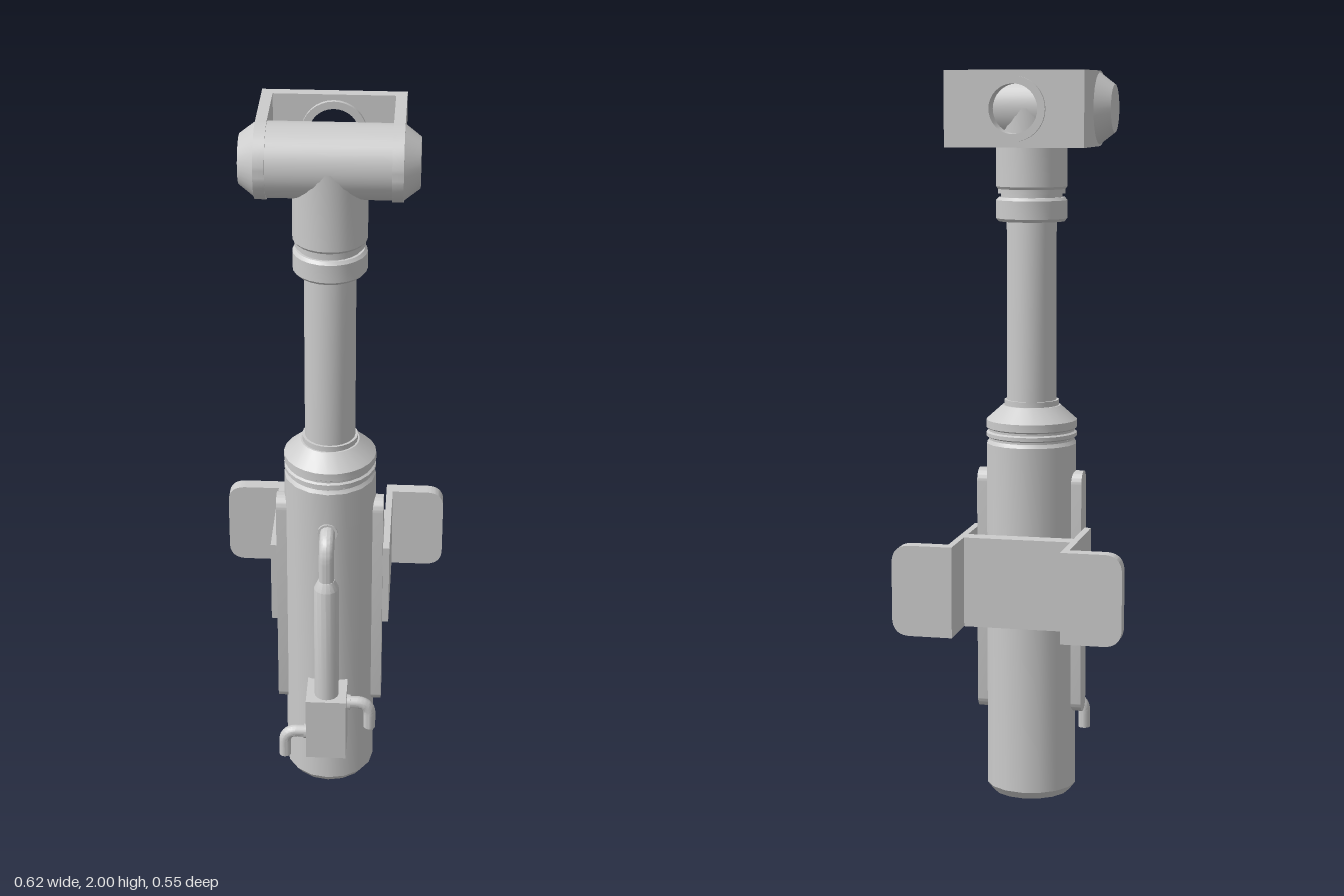
import * as THREE from 'three';
import { toCreasedNormals } from 'three/addons/utils/BufferGeometryUtils.js';

const material = new THREE.MeshStandardMaterial({ color: 0xcccccc });
const AXIS_Z = 0.047; // depth of the main cylinder axis

export function createModel() {
  const model = new THREE.Group();
  model.name = 'hydraulicStrut';

  const add = (name, geometry, x = 0, y = 0, z = 0, parent = model) => {
    const mesh = new THREE.Mesh(toCreasedNormals(geometry, 0.45), material);
    mesh.name = name;
    mesh.position.set(x, y, z);
    parent.add(mesh);
    return mesh;
  };
  const group = (name) => {
    const g = new THREE.Group();
    g.name = name;
    model.add(g);
    return g;
  };
  const lathe = (profile, sides) =>
    new THREE.LatheGeometry(profile.map(([r, y]) => new THREE.Vector2(r, y)), sides);
  // Box given by its limits
  const box = (name, x0, x1, y0, y1, z0, z1, parent) =>
    add(name, new THREE.BoxGeometry(x1 - x0, y1 - y0, z1 - z0),
      (x0 + x1) / 2, (y0 + y1) / 2, (z0 + z1) / 2, parent);
  const extrude = (shape, depth) =>
    new THREE.ExtrudeGeometry(shape, { depth, bevelEnabled: false, curveSegments: 16 });
  const ringShape = (outer, inner) => {
    const s = new THREE.Shape().absarc(0, 0, outer, 0, Math.PI * 2);
    s.holes.push(new THREE.Path().absarc(0, 0, inner, 0, Math.PI * 2, true));
    return s;
  };
  // Pipe with one rounded elbow: start -> corner -> end
  const elbowPipe = (name, start, corner, end, radius, bend, parent) => {
    const [a, c, b] = [start, corner, end].map((p) => new THREE.Vector3(...p));
    const towards = (p) => c.clone().add(p.clone().sub(c).setLength(bend));
    const path = new THREE.CurvePath();
    const p = towards(a), q = towards(b);
    path.add(new THREE.LineCurve3(a, p));
    path.add(new THREE.QuadraticBezierCurve3(p, c, q));
    path.add(new THREE.LineCurve3(q, b));
    add(name, new THREE.TubeGeometry(path, 32, radius, 14, false), 0, 0, 0, parent);
    // Flat cap at the open end
    const cap = add(name + 'Cap', new THREE.CircleGeometry(radius, 14), ...end, parent);
    cap.lookAt(b.clone().multiplyScalar(2).sub(c));
  };

  // Main cylinder, chamfered at the foot
  add('cylinderBody', lathe([[0, 0], [0.108, 0], [0.125, 0.022], [0.125, 0.99],
    [0.118, 1.0], [0.118, 1.004], [0, 1.004]], 16), 0, 0, AXIS_Z);
  // Gland collar on top of the cylinder
  add('glandCollar', lathe([[0.118, 1.0], [0.118, 1.006], [0.125, 1.01], [0.125, 1.02],
    [0.119, 1.024], [0.119, 1.03], [0.125, 1.034], [0.125, 1.055],
    [0.08, 1.095], [0.075, 1.095], [0.075, 1.11], [0, 1.11]], 24), 0, 0, AXIS_Z);
  // Piston rod
  add('pistonRod', new THREE.CylinderGeometry(0.068, 0.068, 0.54, 24), 0, 1.35, AXIS_Z);
  // Rod end with groove, running up into the cross head
  add('rodEnd', lathe([[0, 1.598], [0.09, 1.598], [0.097, 1.606], [0.097, 1.655], [0.09, 1.663],
    [0.083, 1.663], [0.083, 1.673], [0.092, 1.673], [0.092, 1.685], [0.097, 1.692],
    [0.097, 1.9], [0, 1.9]], 24), 0, 0, AXIS_Z);
  // Horizontal cross head with tapered ends
  add('crossHead', lathe([[0, -0.228], [0.064, -0.228], [0.096, -0.186], [0.096, 0.186],
    [0.064, 0.228], [0, 0.228]], 32).rotateZ(Math.PI / 2), 0, 1.9, AXIS_Z);

  // Yoke around the cross head: round-nosed arms and a bored back plate
  const yoke = group('yoke');
  const arm = new THREE.Shape();
  arm.moveTo(0.174, -0.1);
  arm.lineTo(0.174, 0.1);
  arm.lineTo(-AXIS_Z, 0.1);
  arm.absarc(-AXIS_Z, 0, 0.1, Math.PI / 2, Math.PI * 1.5, false);
  arm.closePath();
  for (const x of [-0.187, 0.158])
    add('yokeArm', extrude(arm, 0.029).rotateY(Math.PI / 2), x, 1.9, 0, yoke);
  const plate = new THREE.Shape();
  plate.moveTo(-0.158, -0.1).lineTo(0.158, -0.1).lineTo(0.158, 0.1).lineTo(-0.158, 0.1);
  plate.closePath();
  plate.holes.push(new THREE.Path().absarc(0, 0, 0.075, 0, Math.PI * 2, true));
  add('yokeBackPlate', extrude(plate, 0.03), 0, 1.9, -0.174, yoke);
  add('yokeBushing', extrude(ringShape(0.085, 0.065), 0.049), 0, 1.9, -0.182, yoke);

  // Raised pill-shaped strips on both sides of the cylinder
  const pill = new THREE.Shape();
  pill.absarc(0, 0.88, 0.035, 0, Math.PI, false);
  pill.absarc(0, 0.267, 0.035, Math.PI, Math.PI * 2, false);
  pill.closePath();
  for (const x of [-0.147, 0.1])
    add('sideStrip', extrude(pill, 0.047).rotateY(Math.PI / 2), x, 0, AXIS_Z);

  // Mounting bracket behind the cylinder
  const bracket = group('mountingBracket');
  box('bracketCrossPlate', -0.148, 0.148, 0.505, 0.752, -0.14, -0.092, bracket);
  const flange = new THREE.Shape();
  flange.moveTo(0, 0).lineTo(0.115, 0).quadraticCurveTo(0.165, 0, 0.165, 0.05);
  flange.lineTo(0.165, 0.197).quadraticCurveTo(0.165, 0.247, 0.115, 0.247);
  flange.lineTo(0, 0.247);
  flange.closePath();
  for (const side of [-1, 1]) {
    const [x0, x1] = side > 0 ? [0.147, 0.165] : [-0.165, -0.147];
    box('bracketSidePlate', x0, x1, 0.505, 0.752, -0.24, 0.062, bracket);
    const ear = extrude(flange, 0.038);
    if (side < 0) ear.translate(0, 0, -0.038).rotateY(Math.PI);
    add('bracketEar', ear, side * 0.147, 0.505, -0.275, bracket);
  }

  // Valve block with reservoir and pipes on the front
  const valve = group('valve');
  const tankZ = 0.228;
  box('valveBlock', -0.056, 0.056, 0.177, 0.372, 0.16, 0.273, valve);
  add('reservoir', lathe([[0, 0.36], [0.034, 0.36], [0.034, 0.73], [0.022, 0.755], [0, 0.755]], 16),
    0, 0, tankZ, valve);
  elbowPipe('returnPipe', [0, 0.74, tankZ], [0, 0.87, tankZ], [0, 0.87, 0.155], 0.021, 0.055, valve);
  add('returnPipeCollar', new THREE.CylinderGeometry(0.027, 0.027, 0.02, 16).rotateX(Math.PI / 2),
    0, 0.87, 0.165, valve);
  for (const [side, top] of [[1, 0.328], [-1, 0.22]]) {
    elbowPipe('portPipe', [side * 0.05, top, 0.208], [side * 0.12, top, 0.208],
      [side * 0.12, top - 0.083, 0.208], 0.017, 0.038, valve);
    add('portCollar', new THREE.CylinderGeometry(0.021, 0.021, 0.012, 14).rotateZ(Math.PI / 2),
      side * 0.06, top, 0.208, valve);
  }
  return model;
}
